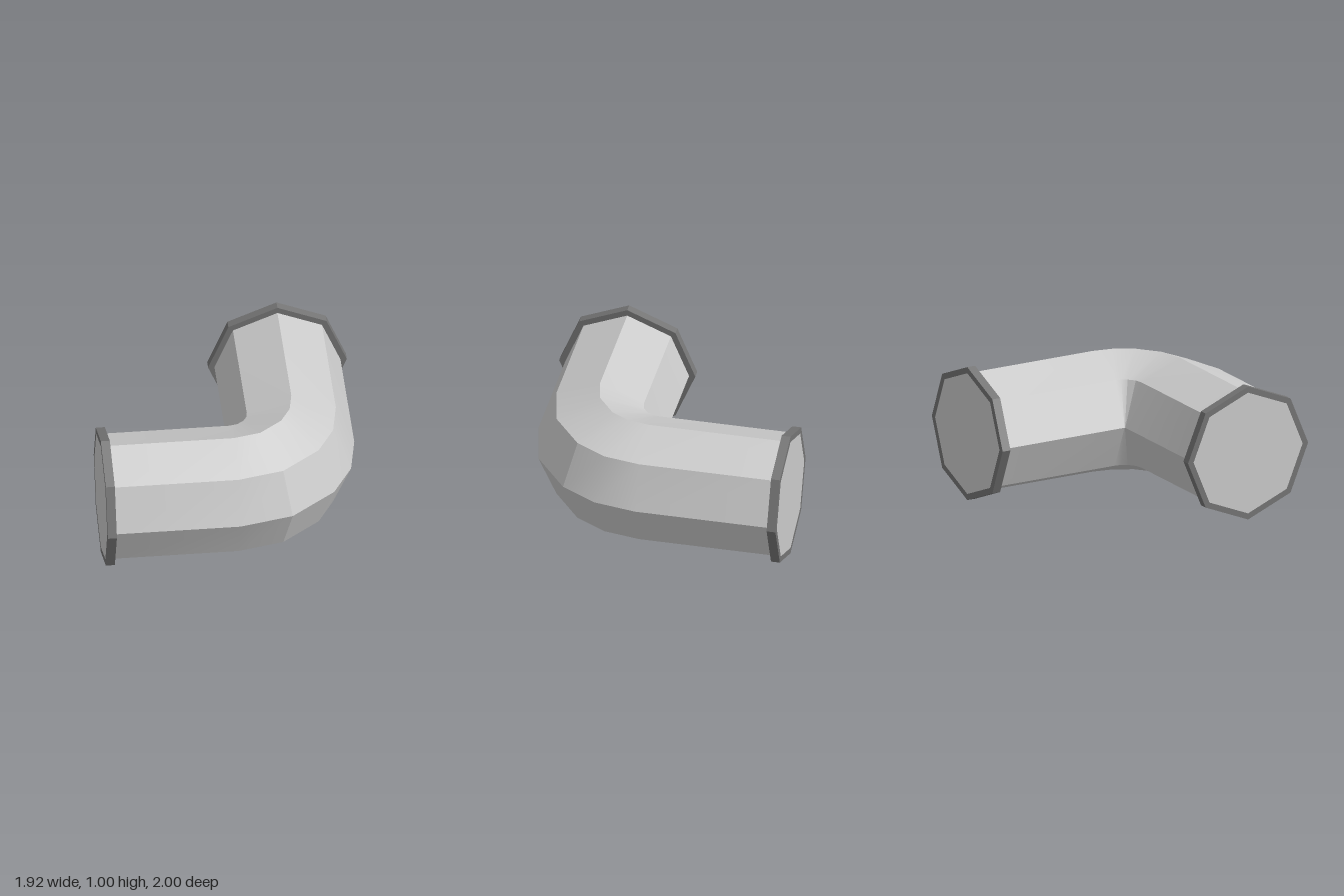
import * as THREE from 'three';
import { toCreasedNormals } from 'three/addons/utils/BufferGeometryUtils.js';

const SIDES = 8;
const PIPE_R = 0.454, FLANGE_R = 0.5, FLANGE_T = 0.065;
const BEND_R = 0.46, BEND_Z = 0.04, AXIS_Y = 0.5;
const END = { x: -0.96, z: -1 };

// Octagonal pipe: rings swept along a straight, a quarter bend and a second straight
function pipeGeometry() {
  const rings = [[0, END.x, 0], [0, 0, 0], [25, 0, 0], [51, 0, 0], [70, 0, 0], [90, 0, 0], [90, 0, END.z - BEND_Z]];
  const positions = [], index = [];
  for (const [deg, dx, dz] of rings) {
    const a = THREE.MathUtils.degToRad(deg);
    for (let j = 0; j < SIDES; j++) {
      const t = (j / SIDES) * Math.PI * 2;
      const d = BEND_R + PIPE_R * Math.cos(t);
      positions.push(dx + d * Math.sin(a), AXIS_Y + PIPE_R * Math.sin(t), BEND_Z + dz + d * Math.cos(a));
    }
  }
  for (let i = 0; i < rings.length - 1; i++) {
    for (let j = 0; j < SIDES; j++) {
      const k = (j + 1) % SIDES;
      const a = i * SIDES + j, b = a + SIDES, c = (i + 1) * SIDES + k, d = i * SIDES + k;
      index.push(a, b, c, a, c, d);
    }
  }
  // Closed ends
  const last = (rings.length - 1) * SIDES;
  for (let j = 1; j < SIDES - 1; j++) {
    index.push(0, j, j + 1, last, last + j + 1, last + j);
  }
  const g = new THREE.BufferGeometry();
  g.setAttribute('position', new THREE.Float32BufferAttribute(positions, 3));
  g.setIndex(index);
  return toCreasedNormals(g, THREE.MathUtils.degToRad(20));
}

// Octagonal collar with an opening for the pipe
function flangeGeometry() {
  const octagon = (r) => Array.from({ length: SIDES }, (_, i) => {
    const t = (i / SIDES) * Math.PI * 2;
    return new THREE.Vector2(r * Math.cos(t), r * Math.sin(t));
  });
  const shape = new THREE.Shape(octagon(FLANGE_R));
  shape.holes.push(new THREE.Path(octagon(PIPE_R)));
  return new THREE.ExtrudeGeometry(shape, { depth: FLANGE_T, bevelEnabled: false });
}

export function createModel() {
  const group = new THREE.Group();
  group.name = 'pipeElbow';
  const pipeMat = new THREE.MeshStandardMaterial({ color: 0xcccccc });
  const flangeMat = new THREE.MeshStandardMaterial({ color: 0x757575 });

  const pipe = new THREE.Mesh(pipeGeometry(), pipeMat);
  pipe.name = 'pipe';
  group.add(pipe);

  // One flange flush with each pipe end
  const flange = flangeGeometry();
  const backFlange = new THREE.Mesh(flange, flangeMat);
  backFlange.name = 'backFlange';
  backFlange.position.set(BEND_R, AXIS_Y, END.z);
  const rightFlange = new THREE.Mesh(flange, flangeMat);
  rightFlange.name = 'rightFlange';
  rightFlange.rotation.y = Math.PI / 2;
  rightFlange.position.set(END.x, AXIS_Y, BEND_Z + BEND_R);
  group.add(backFlange, rightFlange);

  return group;
}
